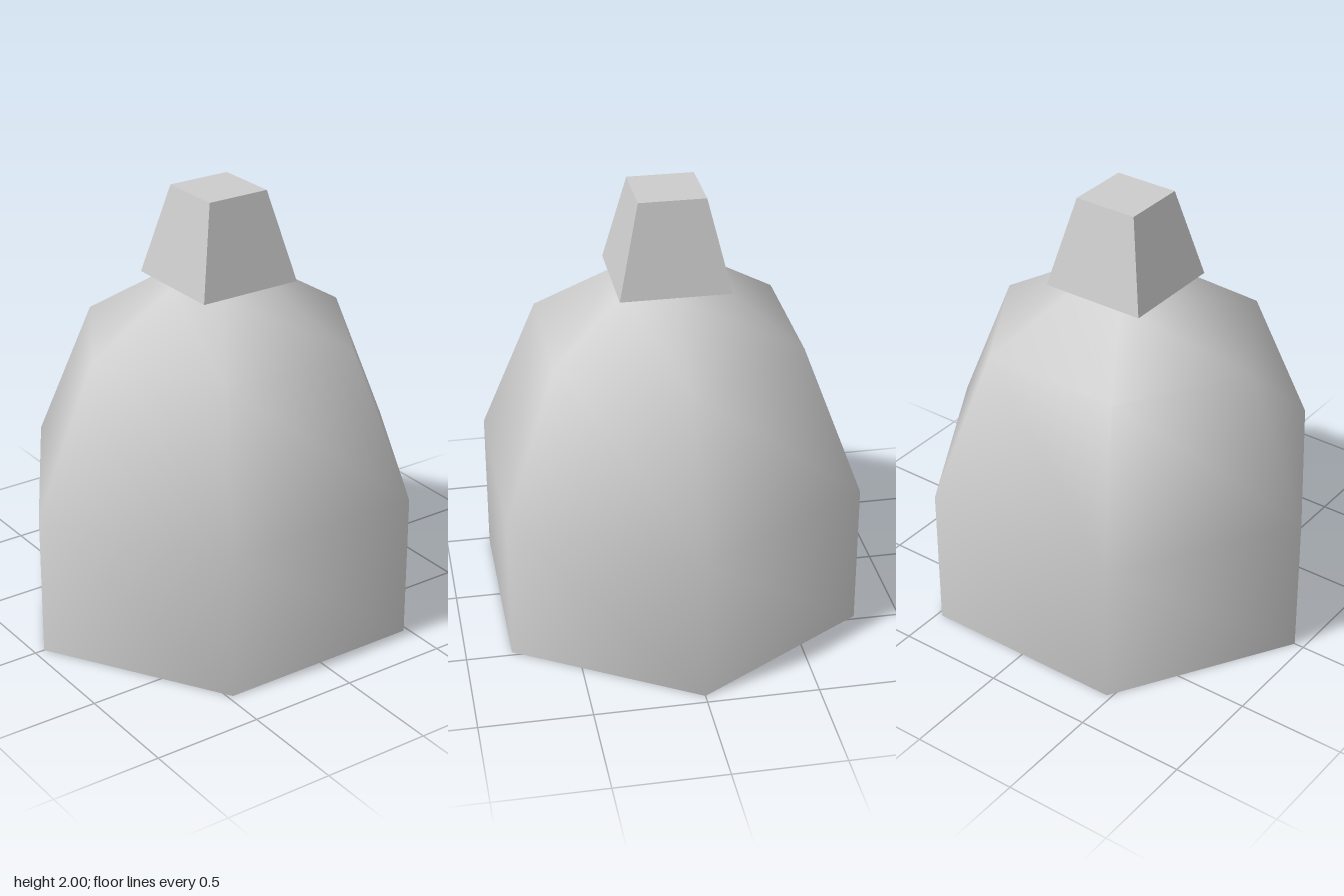
import * as THREE from 'three';

export function createModel() {
  const model = new THREE.Group();
  const grey = new THREE.MeshStandardMaterial({ color: 0xcccccc });
  grey.name = 'light grey';

  const add = (name, geometry) => {
    const mesh = new THREE.Mesh(geometry, grey);
    mesh.name = name;
    model.add(mesh);
    return mesh;
  };

  // Six-sided body, smooth shaded, slightly flattened front to back
  const radius = 0.955, depth = 0.96;
  const profile = [[radius, 0], [radius, 0.67], [0.665, 1.335], [0.25, 1.588]]
    .map(([r, y]) => new THREE.Vector2(r, y));
  add('body', new THREE.LatheGeometry(profile, 6, Math.PI / 2).scale(1, 1, depth));

  // Flat underside
  add('base', new THREE.CircleGeometry(radius, 6).rotateX(Math.PI / 2).scale(1, 1, depth));

  // Tapered square cap with hard edges
  const cap = new THREE.CylinderGeometry(0.15 * Math.SQRT2, 0.247 * Math.SQRT2, 0.412, 4)
    .rotateY(Math.PI / 4)
    .translate(0, 1.794, 0)
    .toNonIndexed();
  cap.computeVertexNormals();
  add('cap', cap);

  return model;
}
